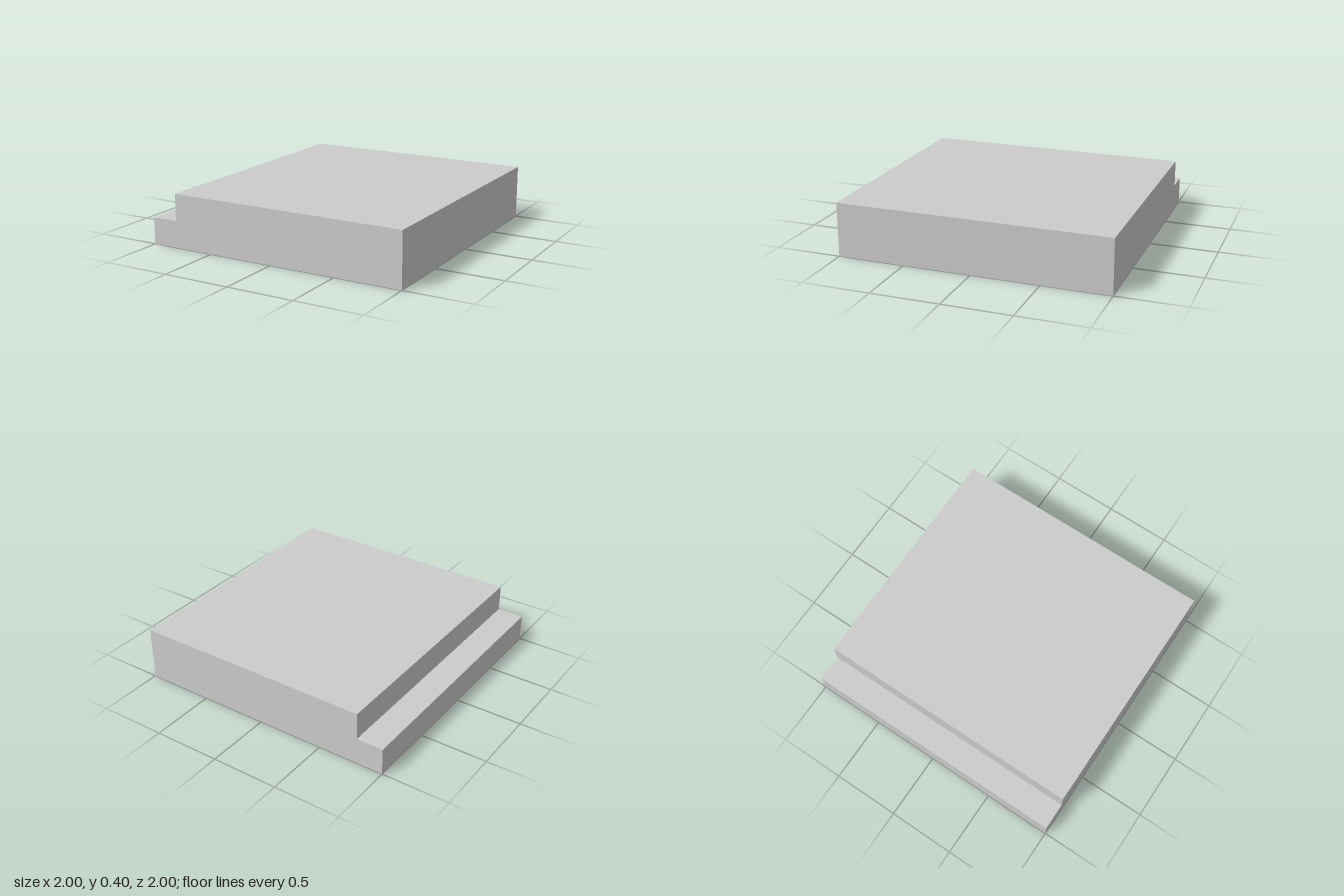
import * as THREE from 'three';

export function createModel() {
  const group = new THREE.Group();
  group.name = 'steppedSlab';

  // Side profile with a low step along the -x edge
  const profile = new THREE.Shape([
    [-1, 0], [1, 0], [1, 0.4], [-0.8, 0.4], [-0.8, 0.2], [-1, 0.2],
  ].map(([x, y]) => new THREE.Vector2(x, y)));

  // Slab: the profile swept along z and centred
  const geometry = new THREE.ExtrudeGeometry(profile, { depth: 2, bevelEnabled: false });
  geometry.translate(0, 0, -1);

  const material = new THREE.MeshStandardMaterial({ color: 0xcccccc, flatShading: true });
  const slab = new THREE.Mesh(geometry, material);
  slab.name = 'slab';
  group.add(slab);
  return group;
}
